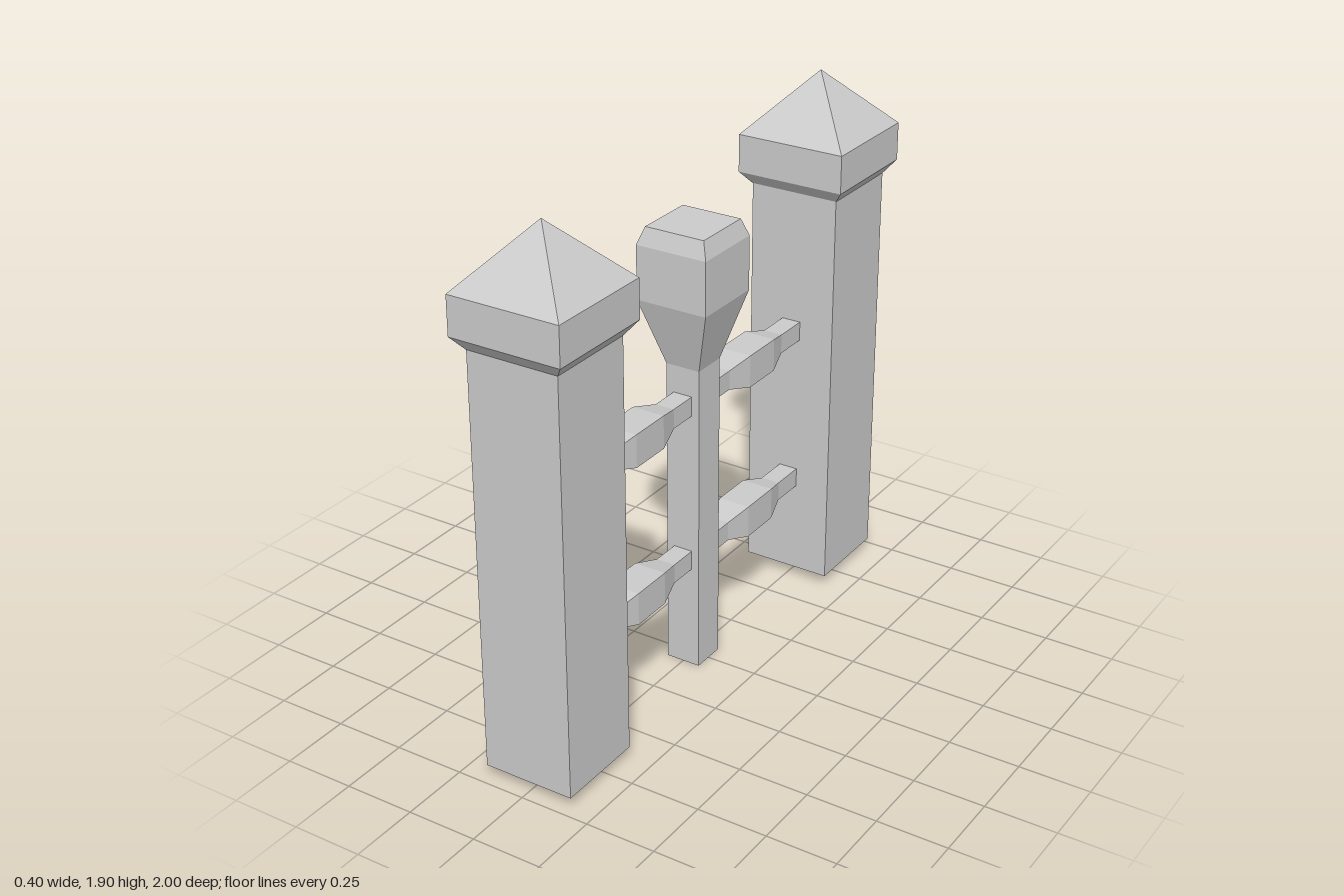
import * as THREE from 'three';

const material = new THREE.MeshStandardMaterial({ color: 0xcccccc, flatShading: true });

// Square-section solid along y from [height, halfWidth] pairs, bottom to top
function squareLoft(name, profile) {
  const corners = [[1, 1], [1, -1], [-1, -1], [-1, 1]];
  const rings = profile.map(([y, h]) => corners.map(([x, z]) => [x * h, y, z * h]));
  const pos = [];
  const quad = (a, b, c, d) => pos.push(...a, ...b, ...c, ...a, ...c, ...d);
  for (let i = 0; i < rings.length - 1; i++) {
    const lo = rings[i], hi = rings[i + 1];
    for (let k = 0; k < 4; k++) {
      const n = (k + 1) % 4;
      if (profile[i + 1][1] === 0) pos.push(...lo[k], ...lo[n], ...hi[k]);
      else quad(lo[k], lo[n], hi[n], hi[k]);
    }
  }
  const first = rings[0], last = rings[rings.length - 1];
  quad(first[3], first[2], first[1], first[0]);
  if (profile[profile.length - 1][1] > 0) quad(...last);
  const geometry = new THREE.BufferGeometry();
  geometry.setAttribute('position', new THREE.Float32BufferAttribute(pos, 3));
  geometry.computeVertexNormals();
  const mesh = new THREE.Mesh(geometry, material);
  mesh.name = name;
  return mesh;
}

export function createModel() {
  const model = new THREE.Group();
  model.name = 'fence';

  // Slim middle post with a flared, chamfered head
  model.add(squareLoft('middlePost', [
    [0, 0.063], [1.13, 0.063], [1.365, 0.131], [1.555, 0.131], [1.615, 0.11],
  ]));

  for (const [side, s] of [['front', 1], ['back', -1]]) {
    // Heavy end post with a pyramid cap
    const post = new THREE.Group();
    post.name = side + 'Post';
    post.position.z = s * 0.8;
    post.add(squareLoft('shaft', [[0.04, 0.164], [1.51, 0.164]]));
    post.add(squareLoft('cap', [[1.51, 0.165], [1.555, 0.2], [1.69, 0.2], [1.9, 0]]));
    model.add(post);

    // Two rails, thicker in the middle, joining the end post to the middle post
    for (const [level, y] of [['Lower', 0.415], ['Upper', 0.997]]) {
      const rail = squareLoft(side + level + 'Rail', [
        [0.06, 0.035], [0.17, 0.035], [0.265, 0.059], [0.42, 0.059], [0.51, 0.035], [0.64, 0.035],
      ]);
      rail.rotation.x = s * Math.PI / 2;
      rail.position.y = y;
      model.add(rail);
    }
  }
  return model;
}
